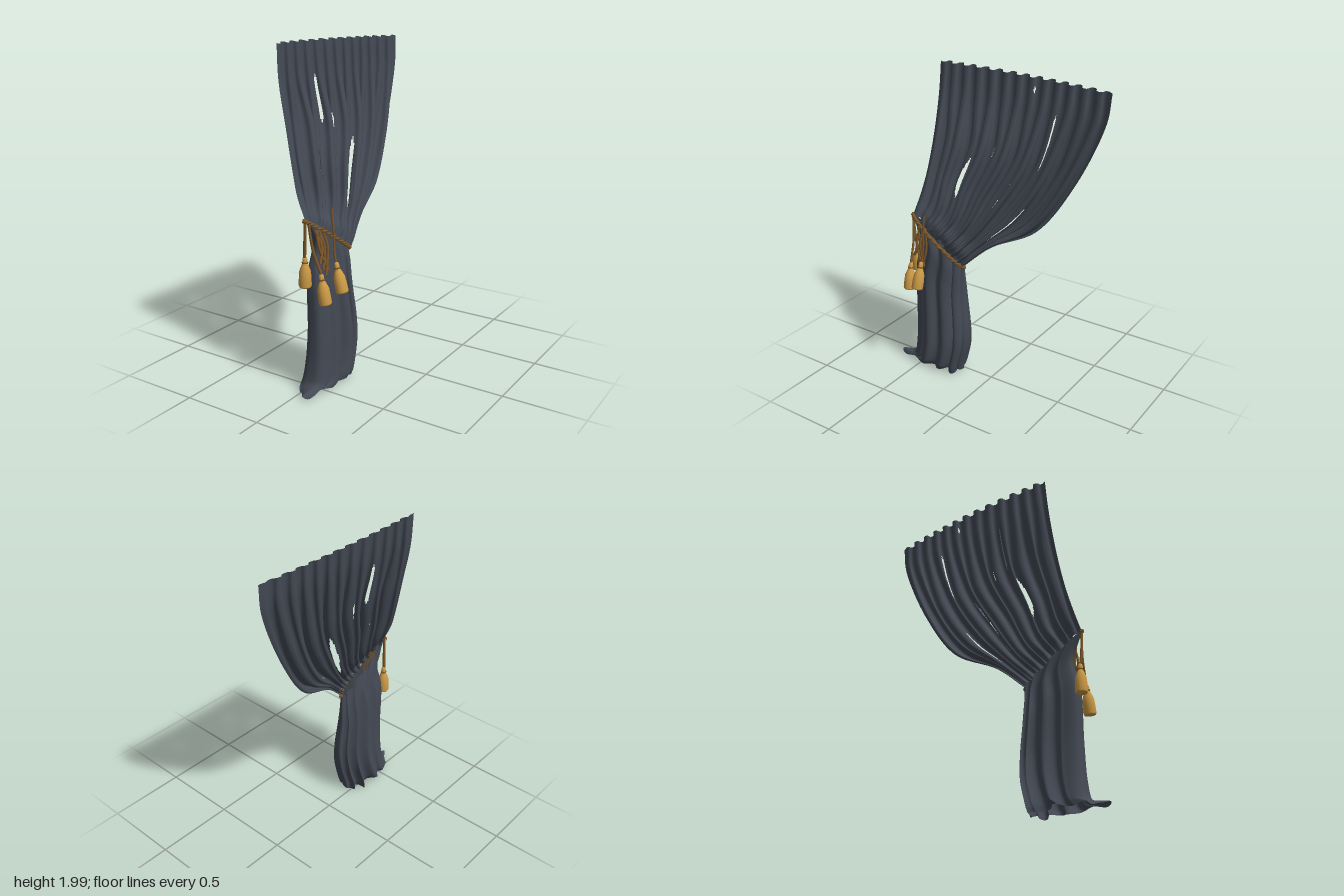
import * as THREE from 'three';

const V = (x, y, z) => new THREE.Vector3(x, y, z);
const curve = pts => new THREE.CatmullRomCurve3(pts.map(p => V(...p)));

// Grid surface from a function (u, v) -> Vector3, with optional cells left out
function surface(nu, nv, point, skip = () => false) {
  const pos = [], index = [];
  for (let j = 0; j <= nv; j++)
    for (let i = 0; i <= nu; i++) pos.push(...point(i / nu, j / nv).toArray());
  for (let j = 0; j < nv; j++)
    for (let i = 0; i < nu; i++) {
      if (skip((i + 0.5) / nu, (j + 0.5) / nv)) continue;
      const a = j * (nu + 1) + i, b = a + 1, c = a + nu + 1, d = c + 1;
      index.push(a, c, b, b, c, d);
    }
  const g = new THREE.BufferGeometry();
  g.setAttribute('position', new THREE.Float32BufferAttribute(pos, 3));
  g.setIndex(index);
  g.computeVertexNormals();
  return g;
}

// Pleated upper drape: columns blend through a front, a middle and a back path
function drapeGeometry() {
  const front = curve([[-0.195, 2, 0.5], [-0.18, 1.8, 0.51], [-0.13, 1.55, 0.52],
    [-0.075, 1.32, 0.54], [-0.03, 1.18, 0.56], [0.03, 1.06, 0.575]]);
  const middle = curve([[-0.188, 1.99, -0.2], [-0.17, 1.8, -0.19], [-0.112, 1.48, -0.13],
    [-0.047, 1.22, 0], [0.01, 1.02, 0.12], [0.055, 0.86, 0.26]]);
  const back = curve([[-0.145, 1.975, -0.68], [-0.135, 1.8, -0.66], [-0.1, 1.4, -0.49],
    [-0.055, 1.1, -0.28], [0.005, 0.95, 0], [0.055, 0.8, 0.17]]);
  const depth = curve([[0.014, 0, 0], [0.02, 0, 0], [0.042, 0, 0], [0.046, 0, 0], [0.034, 0, 0], [0.018, 0, 0]]);
  const m = 0.6; // u of the middle path
  // Open slits between folds: u, v start, v end, half width
  const slits = [[0.3, 0.2, 0.4, 0.006], [0.265, 0.46, 0.68, 0.012], [0.4, 0.35, 0.44, 0.006],
    [0.6, 0.46, 0.8, 0.009], [0.8, 0.54, 0.78, 0.009], [0.72, 0.2, 0.4, 0.006],
    [0.58, 0.05, 0.1, 0.005]];
  const point = (u, v) => {
    const p = front.getPoint(v).multiplyScalar((u - m) * (u - 1) / m)
      .addScaledVector(middle.getPoint(v), u * (u - 1) / (m * (m - 1)))
      .addScaledVector(back.getPoint(v), u * (u - m) / (1 - m));
    const phase = 2 * Math.PI * 13 * u + 0.6 * Math.sin(9 * u + 3 * v);
    const edge = Math.min(1, 18 * u, 18 * (1 - u));
    const amp = edge * depth.getPoint(v).x;
    // Fine pleats at the heading merge into broader folds below
    const broad = 0.5 * THREE.MathUtils.smoothstep(v, 0.15, 0.4);
    p.x += amp * ((1 - broad) * Math.sin(phase) + broad * Math.sin(0.5 * phase + 1));
    p.z += amp * 0.35 * Math.sin(2 * phase) * (1 - broad);
    p.y -= 0.004 * (1 - v) * Math.sin(phase);
    // Cloth puffs out over the tieback
    p.x += 0.022 * Math.exp(-(((v - 0.94) / 0.05) ** 2)) * Math.sin(Math.PI * u);
    return p;
  };
  const skip = (u, v) => slits.some(([s, a, b, w]) => {
    const t = (2 * v - a - b) / (b - a);
    return Math.abs(t) < 1 && Math.abs(u - s) < w * Math.sqrt(1 - t * t);
  });
  return surface(312, 70, point, skip);
}

// Gathered lower fall: folded closed sections from the tie to the hem
function fallGeometry() {
  const frontEdge = curve([[0, 1.05, 0.57], [0, 0.9, 0.505], [0, 0.72, 0.54], [0, 0.38, 0.54],
    [0, 0.17, 0.55], [0, 0.06, 0.575], [0, 0.03, 0.61]]);
  const backEdge = curve([[0, 0.8, 0.18], [0, 0.72, 0.18], [0, 0.58, 0.175], [0, 0.36, 0.155],
    [0, 0.22, 0.165], [0, 0.07, 0.205], [0, 0.02, 0.215]]);
  // Centre x and half thickness
  const girth = curve([[0.042, 0.026, 0], [0.045, 0.045, 0], [0.042, 0.066, 0], [0.047, 0.08, 0],
    [0.042, 0.092, 0], [0.037, 0.098, 0], [0.036, 0.085, 0]]);
  const soft = (s, e) => Math.sign(s) * Math.pow(Math.abs(s), e);
  return surface(200, 60, (u, v) => {
    const a = 2 * Math.PI * u, c = Math.cos(a), s = Math.sin(a);
    const g = girth.getPoint(v);
    const p = backEdge.getPoint(v).lerp(frontEdge.getPoint(v), 0.5 + 0.5 * soft(c, 0.8));
    const calm = 1 - THREE.MathUtils.smoothstep(c, 0.1, 0.6);
    const fold = calm * Math.sin(11 * a + 0.5 * Math.sin(5 * v));
    p.x = g.x + soft(s, 0.6) * g.y * (0.95 + 0.3 * fold);
    p.z += 0.01 * calm * Math.cos(11 * a);
    // Hem trails forward and ripples
    const hem = THREE.MathUtils.smoothstep(v, 0.8, 1);
    p.z += hem * 0.09 * Math.exp(-(((p.x - 0.09) / 0.05) ** 2)) * Math.max(0, c);
    p.y += hem * 0.01 * Math.sin(7 * a);
    return p;
  });
}

export function createModel() {
  const group = new THREE.Group();
  const cloth = new THREE.MeshStandardMaterial({ color: 0x434954, side: THREE.DoubleSide });
  cloth.name = 'slate cloth';
  const gold = new THREE.MeshStandardMaterial({ color: 0xcc9a46 });
  gold.name = 'gold thread';
  const brown = new THREE.MeshStandardMaterial({ color: 0x7d5829 });
  brown.name = 'brown cord';

  const add = (name, geometry, material, parent = group) => {
    const mesh = new THREE.Mesh(geometry, material);
    mesh.name = name;
    parent.add(mesh);
    return mesh;
  };
  const cord = (name, pts, r) => add(name, new THREE.TubeGeometry(curve(pts), 24, r, 6), brown);

  add('upperDrape', drapeGeometry(), cloth);
  add('lowerFall', fallGeometry(), cloth);

  // Tieback: two twisted strands sloping across the outer side
  for (const start of [0, Math.PI]) {
    const pts = [];
    for (let i = 0; i <= 64; i++) {
      const a = -0.15 + (i / 64) * (Math.PI + 0.3), t = 16 * a + start, c = Math.cos(a);
      const r = 0.006 * Math.cos(t);
      pts.push(V(0.04 - 0.01 * c + (0.042 + r) * Math.sin(a), 0.92 + 0.13 * c + 0.006 * Math.sin(t),
        0.375 + (0.205 + r) * c));
    }
    add('tiebackStrand', new THREE.TubeGeometry(new THREE.CatmullRomCurve3(pts), 192, 0.0075, 6), brown);
  }

  // Hanging cords
  cord('tasselCord', [[0.035, 1.05, 0.577], [0.03, 0.95, 0.575], [0.02, 0.83, 0.568]], 0.009);
  cord('tasselCord', [[0.05, 1.03, 0.565], [0.07, 0.88, 0.555], [0.12, 0.74, 0.545]], 0.008);
  cord('tasselCord', [[0.11, 1.1, 0.43], [0.122, 0.98, 0.43], [0.135, 0.82, 0.435], [0.155, 0.77, 0.44]], 0.006);
  for (let i = 0; i < 5; i++) {
    const z = 0.455 + 0.014 * i, k = i % 2 ? 0.018 : -0.018;
    cord('looseCord', [[0.06, 0.99, z + 0.01], [0.085, 0.88, z + k], [0.1, 0.72 + 0.02 * i, z - k]], 0.008);
  }

  // Tassels: lathed skirt and neck with a brown collar
  const skirt = [[0, 0.005], [0.032, 0], [0.037, 0.008], [0.036, 0.055], [0.033, 0.095], [0.022, 0.125],
    [0.013, 0.145], [0.015, 0.16], [0.012, 0.175], [0, 0.185]].map(p => new THREE.Vector2(...p));
  const tassel = (base, top) => {
    const t = new THREE.Group();
    t.name = 'tassel';
    add('tasselSkirt', new THREE.LatheGeometry(skirt, 20), gold, t);
    const collar = add('tasselCollar', new THREE.TorusGeometry(0.014, 0.005, 6, 16), brown, t);
    collar.rotation.x = Math.PI / 2;
    collar.position.y = 0.145;
    t.position.set(...base);
    t.quaternion.setFromUnitVectors(V(0, 1, 0), V(...top).sub(V(...base)).normalize());
    group.add(t);
  };
  tassel([0.02, 0.66, 0.566], [0.02, 0.84, 0.565]);
  tassel([0.145, 0.573, 0.545], [0.115, 0.75, 0.545]);
  tassel([0.19, 0.62, 0.443], [0.145, 0.79, 0.438]);

  return group;
}
